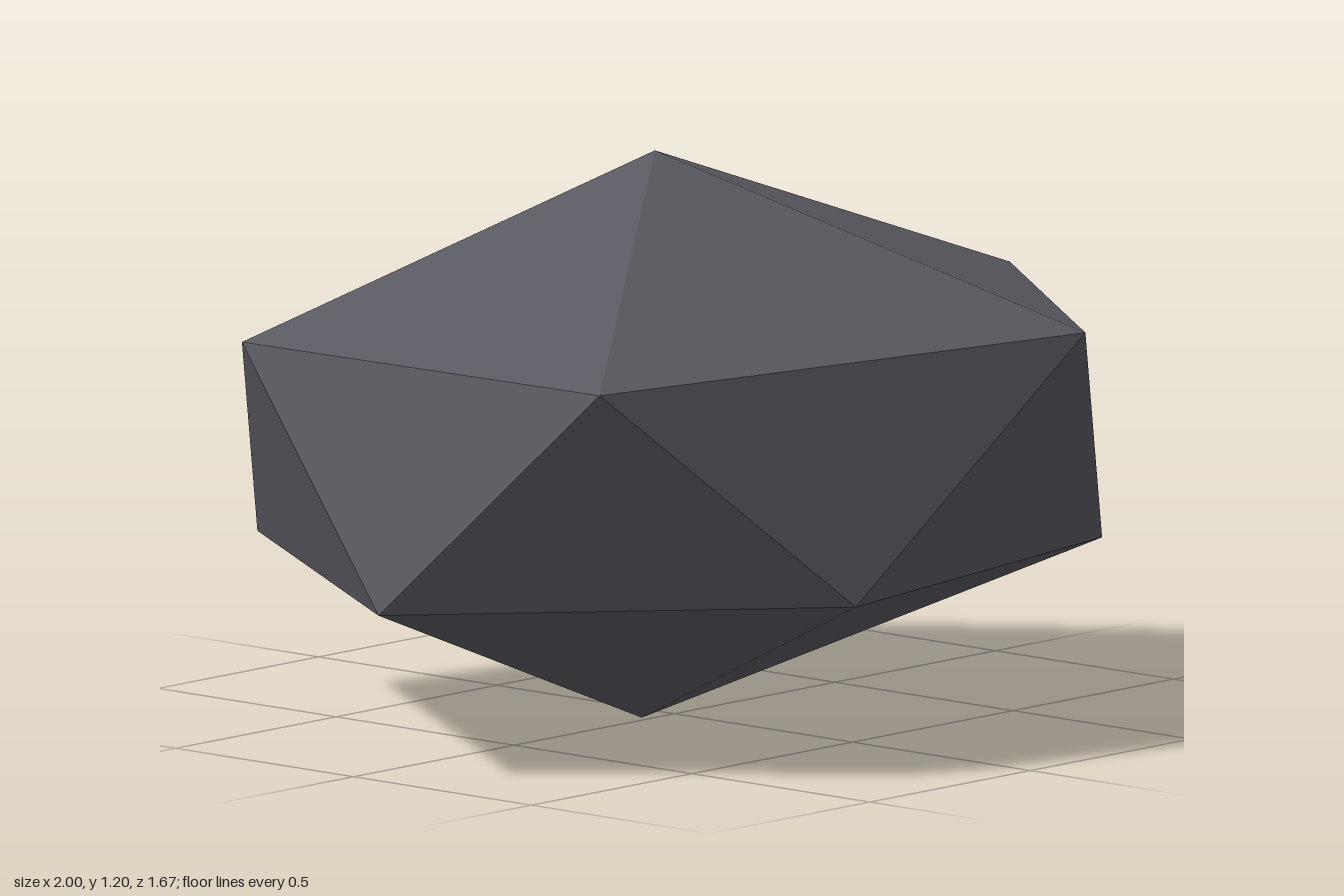
import * as THREE from 'three';

export function createModel() {
  const stone = new THREE.MeshStandardMaterial({ color: 0x5a5a62 });
  stone.name = 'slate grey';
  stone.flatShading = true;

  // Uneven twenty-sided rock: two poles and two staggered rings of five corners
  const top = [-0.05, 1.2, -0.01];
  const bottom = [-0.08, 0, -0.02];
  const upper = [
    [0.36, 0.86, 0.83], [1.0, 0.83, 0.04], [0.36, 0.87, -0.84],
    [-0.86, 0.85, -0.44], [-0.81, 0.845, 0.52],
  ];
  const lower = [
    [-0.3, 0.36, 0.78], [0.8, 0.325, 0.48], [0.8, 0.375, -0.53],
    [-0.385, 0.34, -0.825], [-1.0, 0.35, 0.07],
  ];

  // Cap, band and base facets for each fifth of the rock
  const corners = [];
  for (let i = 0; i < 5; i++) {
    const j = (i + 1) % 5;
    corners.push(
      top, upper[i], upper[j],
      upper[i], lower[j], upper[j],
      lower[i], lower[j], upper[i],
      bottom, lower[j], lower[i],
    );
  }
  const geometry = new THREE.BufferGeometry();
  geometry.setAttribute('position', new THREE.Float32BufferAttribute(corners.flat(), 3));
  geometry.computeVertexNormals();

  const rock = new THREE.Mesh(geometry, stone);
  rock.name = 'rock';
  const group = new THREE.Group();
  group.name = 'boulder';
  group.add(rock);
  return group;
}
